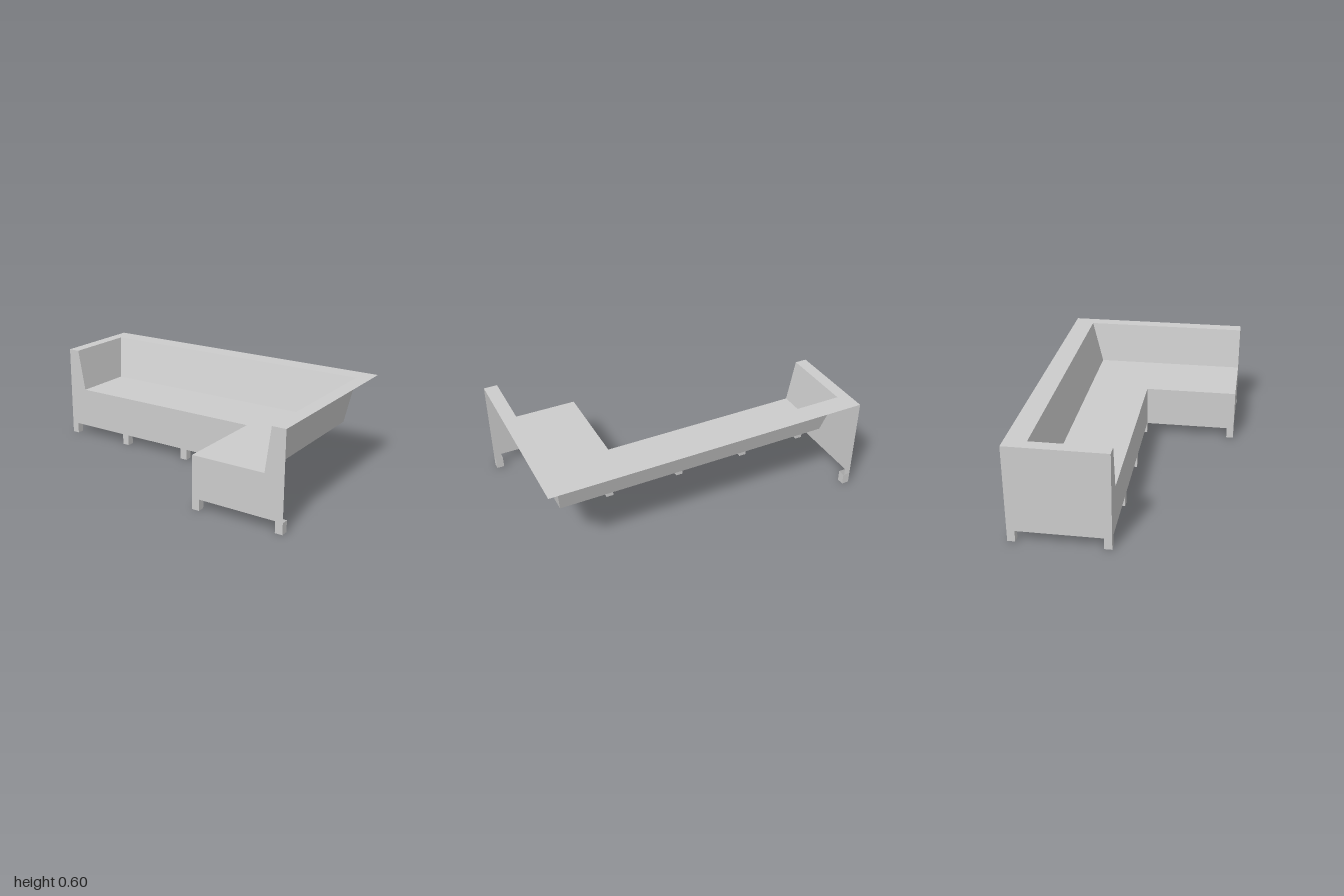
import * as THREE from 'three';

const BACK = -0.595, FRONT = 0.595;      // depth extents
const BOTTOM = 0.07, SEAT = 0.33, TOP = 0.6;
const STEP_X = 0.42;                     // inner side of the chaise

// Arm and back slopes: inner position at seat height and at rim height
const LEFT_LOW = -0.875, LEFT_HIGH = -0.925;
const RIGHT_LOW = 0.88, RIGHT_HIGH = 0.915;
const BACK_LOW = -0.39, BACK_HIGH = -0.465;

export function createModel() {
  const group = new THREE.Group();
  const upholstery = new THREE.MeshStandardMaterial({ color: 0xcccccc, side: THREE.DoubleSide, flatShading: true });
  upholstery.name = 'light grey upholstery';

  // Flat polygon, drawn as a fan from its first corner
  function panel(name, corners) {
    const points = [];
    for (let i = 1; i < corners.length - 1; i++) points.push(...corners[0], ...corners[i], ...corners[i + 1]);
    const geometry = new THREE.BufferGeometry();
    geometry.setAttribute('position', new THREE.Float32BufferAttribute(points, 3));
    geometry.computeVertexNormals();
    const mesh = new THREE.Mesh(geometry, upholstery);
    mesh.name = name;
    group.add(mesh);
  }
  const level = (y, pts) => pts.map(([x, z]) => [x, y, z]);
  const upright = (z, pts) => pts.map(([x, y]) => [x, y, z]);

  // L-shaped seat
  panel('seat', level(SEAT, [[STEP_X, 0], [STEP_X, FRONT], [RIGHT_LOW, FRONT],
    [RIGHT_LOW, BACK_LOW], [LEFT_LOW, BACK_LOW], [LEFT_LOW, 0]]));

  // Sloping inner faces of back and arms
  panel('backrest', [[LEFT_LOW, SEAT, BACK_LOW], [RIGHT_LOW, SEAT, BACK_LOW],
    [RIGHT_HIGH, TOP, BACK_HIGH], [LEFT_HIGH, TOP, BACK_HIGH]]);
  panel('shortArmInner', [[LEFT_LOW, SEAT, 0], [LEFT_LOW, SEAT, BACK_LOW],
    [LEFT_HIGH, TOP, BACK_HIGH], [LEFT_HIGH, TOP, 0]]);
  panel('longArmInner', [[RIGHT_LOW, SEAT, BACK_LOW], [RIGHT_LOW, SEAT, FRONT],
    [RIGHT_HIGH, TOP, FRONT], [RIGHT_HIGH, TOP, BACK_HIGH]]);

  // Flat rim on top
  panel('backRim', level(TOP, [[-1, BACK], [-1, BACK_HIGH], [1, BACK_HIGH], [1, BACK]]));
  panel('shortArmRim', level(TOP, [[-1, BACK_HIGH], [-1, 0], [LEFT_HIGH, 0], [LEFT_HIGH, BACK_HIGH]]));
  panel('longArmRim', level(TOP, [[RIGHT_HIGH, BACK_HIGH], [RIGHT_HIGH, FRONT], [1, FRONT], [1, BACK_HIGH]]));

  // Front faces with arm profiles, and the side walls; back and long side are open
  panel('seatFront', upright(0, [[LEFT_LOW, SEAT], [LEFT_HIGH, TOP], [-1, TOP],
    [-1, BOTTOM], [STEP_X, BOTTOM], [STEP_X, SEAT]]));
  panel('chaiseFront', upright(FRONT, [[RIGHT_LOW, SEAT], [STEP_X, SEAT], [STEP_X, BOTTOM],
    [1, BOTTOM], [1, TOP], [RIGHT_HIGH, TOP]]));
  panel('chaiseSide', [[STEP_X, BOTTOM, 0], [STEP_X, BOTTOM, FRONT], [STEP_X, SEAT, FRONT], [STEP_X, SEAT, 0]]);
  panel('shortArmOuter', [[-1, BOTTOM, BACK], [-1, BOTTOM, 0], [-1, TOP, 0], [-1, TOP, BACK]]);

  // Hollow square legs
  const W = 0.046;
  const legGeometry = new THREE.CylinderGeometry(W / Math.SQRT2, W / Math.SQRT2, BOTTOM, 4, 1, true, Math.PI / 4);
  const legs = [[-1, BACK], [-1, -W], [-0.551, -W], [-0.075, -W], [STEP_X, -W], [STEP_X, FRONT - W], [1 - W, FRONT - W]];
  for (const [x, z] of legs) {
    const leg = new THREE.Mesh(legGeometry, upholstery);
    leg.name = 'leg';
    leg.position.set(x + W / 2, BOTTOM / 2, z + W / 2);
    group.add(leg);
  }
  return group;
}
